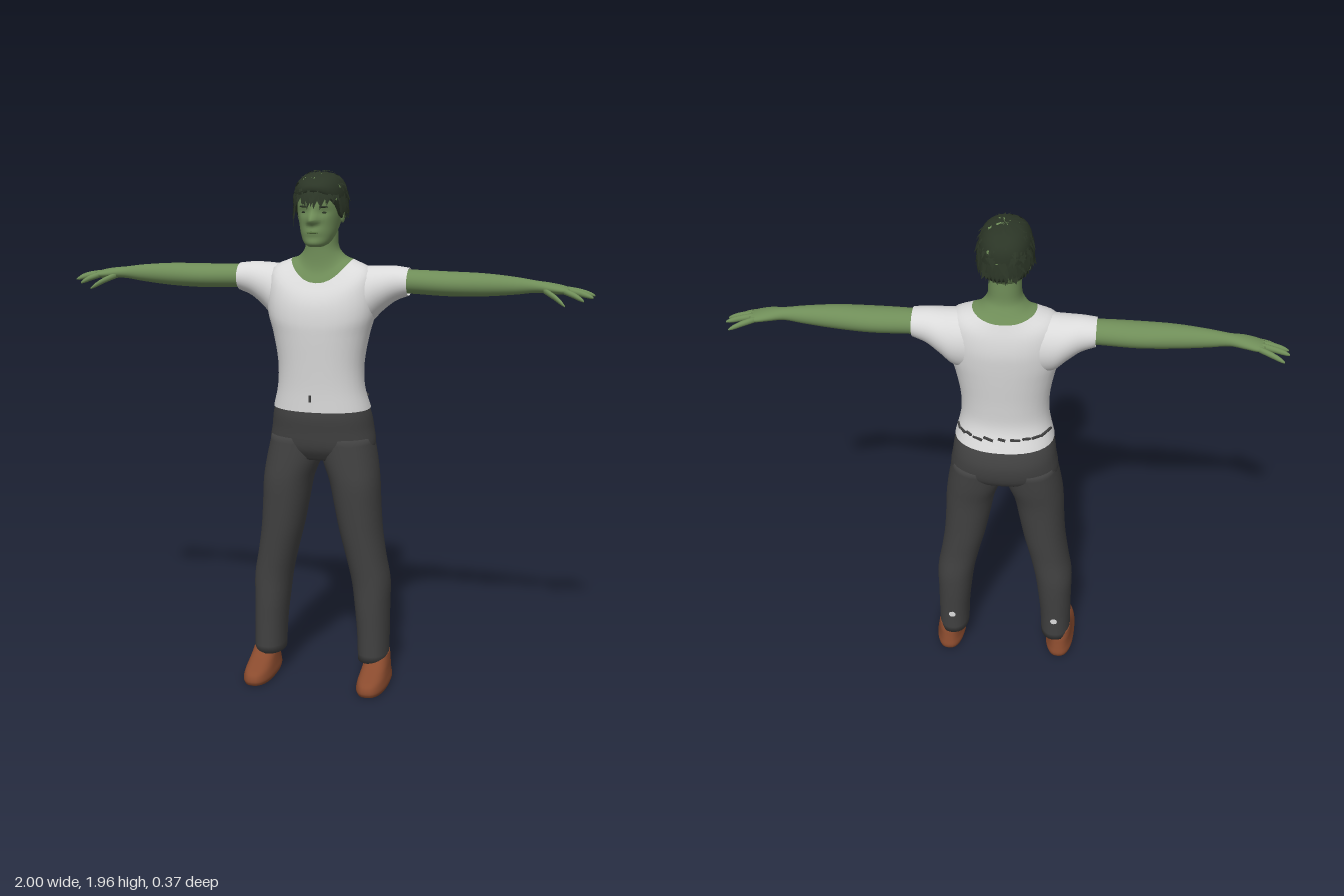
import * as THREE from 'three';
import { mergeGeometries } from 'three/addons/utils/BufferGeometryUtils.js';

const mat = (name, color, side = THREE.FrontSide) => {
  const m = new THREE.MeshStandardMaterial({ color, side });
  m.name = name;
  return m;
};
const N = 32;
const spow = (v, p) => Math.sign(v) * Math.pow(Math.abs(v), p);
const gauss = (d, s) => Math.exp(-(d * d) / (2 * s * s));
let seed = 7;
const rnd = () => (seed = (seed * 16807) % 2147483647) / 2147483647;

// Horizontal cross-section; dF / dB shift its front and back in height.
function ringY(y, rx, zf, zb, { cx = 0, dF = 0, dB = 0, p = 0.9 } = {}) {
  return Array.from({ length: N }, (_, i) => {
    const t = (i / N) * Math.PI * 2, s = Math.sin(t), c = Math.cos(t);
    return new THREE.Vector3(cx + rx * spow(s, p), y + (c > 0 ? dF : dB) * c * c,
      (zf + zb) / 2 + ((zf - zb) / 2) * spow(c, p));
  });
}
// Cross-section of a limb running along x.
function ringX(x, yt, yb, zf, zb) {
  return Array.from({ length: N }, (_, i) => {
    const t = (i / N) * Math.PI * 2;
    return new THREE.Vector3(x, (yt + yb) / 2 + ((yt - yb) / 2) * Math.cos(t),
      (zf + zb) / 2 + ((zf - zb) / 2) * Math.sin(t));
  });
}
// Smooth skin through rings, with optional end caps, reshaping and missing cells.
function loft(rings, { sub = 4, cap = true, deform, holes = 0 } = {}) {
  const rows = (rings.length - 1) * sub;
  const cols = Array.from({ length: N }, (_, j) => new THREE.CatmullRomCurve3(rings.map(r => r[j])).getPoints(rows));
  let grid = Array.from({ length: rows + 1 }, (_, i) => cols.map(c => c[i]));
  if (deform) grid.forEach(r => r.forEach(deform));
  if (cap) {
    const point = r => {
      const m = r.reduce((a, v) => a.add(v), new THREE.Vector3()).divideScalar(N);
      return r.map(() => m.clone());
    };
    grid = [point(grid[0]), ...grid, point(grid[grid.length - 1])];
  }
  const idx = [];
  for (let i = 0; i < grid.length - 1; i++) for (let j = 0; j < N; j++) {
    if (holes && rnd() < holes) continue;
    const a = i * N + j, b = i * N + (j + 1) % N;
    idx.push(a, b, b + N, a, b + N, a + N);
  }
  const g = new THREE.BufferGeometry().setFromPoints(grid.flat());
  g.setIndex(idx);
  g.computeVertexNormals();
  return g;
}
function mirrored(geo) {
  const g = geo.clone().scale(-1, 1, 1), ix = g.index.array;
  for (let i = 0; i < ix.length; i += 3) [ix[i], ix[i + 1]] = [ix[i + 1], ix[i]];
  g.computeVertexNormals();
  return g;
}
const blob = (x, y, z, sx, sy, sz, ry = 0) =>
  new THREE.SphereGeometry(1, 16, 10).scale(sx, sy, sz).rotateY(ry).translate(x, y, z);

export function createModel() {
  const model = new THREE.Group();
  const skin = mat('green skin', 0x6f8d58), shirtMat = mat('white cloth', 0xdadada, THREE.DoubleSide);
  const pantsMat = mat('charcoal cloth', 0x414141, THREE.DoubleSide), shoeMat = mat('brown leather', 0x8a4b2e);
  const hairMat = mat('dark hair', 0x2b3526, THREE.DoubleSide), lipMat = mat('dark green lips', 0x55703f);
  const add = (name, geo, m) => {
    const mesh = new THREE.Mesh(geo, m);
    mesh.name = name;
    model.add(mesh);
  };
  const pair = (name, geo, m) => {
    add('left' + name, geo, m);
    add('right' + name, mirrored(geo), m);
  };

  // Shirt body, ending in a scooped neckline
  const neckline = ringY(1.635, 0.115, 0.07, -0.13, { dF: -0.08, dB: -0.02 });
  add('shirt', loft([
    ringY(1.078, 0.185, 0.107, -0.165), ringY(1.16, 0.165, 0.108, -0.135), ringY(1.25, 0.163, 0.113, -0.137),
    ringY(1.36, 0.182, 0.12, -0.148), ringY(1.44, 0.203, 0.121, -0.155, { dF: -0.03 }),
    ringY(1.53, 0.205, 0.113, -0.157, { dF: -0.06, dB: -0.03 }),
    ringY(1.6, 0.185, 0.098, -0.148, { dF: -0.09, dB: -0.04 }), neckline], { cap: false }), shirtMat);
  pair('Sleeve', loft([
    ringX(0.12, 1.61, 1.38, 0.05, -0.13), ringX(0.18, 1.612, 1.4, 0.05, -0.135), ringX(0.225, 1.614, 1.445, 0.035, -0.13),
    ringX(0.275, 1.614, 1.485, 0.02, -0.115), ringX(0.325, 1.608, 1.506, 0.013, -0.105)], { cap: false }), shirtMat);

  // Neck and bare upper chest
  add('neck', loft([neckline, ringY(1.645, 0.088, 0.048, -0.108, { dF: -0.045 }), ringY(1.675, 0.063, 0.042, -0.092),
    ringY(1.73, 0.058, 0.045, -0.09), ringY(1.79, 0.055, 0.03, -0.09)], { cap: false }), skin);

  // Head with nose, lips, brow and eye sockets
  add('head', loft([
    ringY(1.69, 0.028, 0.095, 0.02), ringY(1.7, 0.044, 0.106, -0.01), ringY(1.73, 0.061, 0.109, -0.06),
    ringY(1.77, 0.072, 0.109, -0.1), ringY(1.81, 0.08, 0.11, -0.117), ringY(1.85, 0.083, 0.112, -0.124),
    ringY(1.89, 0.082, 0.108, -0.122), ringY(1.925, 0.067, 0.085, -0.1), ringY(1.945, 0.03, 0.035, -0.05)],
  { sub: 6, deform: v => {
    if (v.z < 0.03) return;
    const { x, y } = v;
    v.z += 0.036 * gauss(x, 0.011) * gauss(y - 1.785, y > 1.785 ? 0.022 : 0.009)
      + 0.007 * gauss(x, 0.02) * gauss(y - 1.744, 0.012) + 0.006 * gauss(x, 0.02) * gauss(y - 1.705, 0.012)
      - 0.008 * gauss(Math.abs(x) - 0.034, 0.014) * gauss(y - 1.815, 0.011);
  } }), skin);
  pair('Ear', blob(0.08, 1.8, -0.012, 0.01, 0.03, 0.018), skin);
  pair('Eye', blob(0.034, 1.814, 0.091, 0.014, 0.005, 0.005, 0.35), hairMat);
  pair('Eyebrow', blob(0.036, 1.835, 0.1, 0.019, 0.0035, 0.005, 0.35), hairMat);
  add('mouth', blob(0, 1.743, 0.115, 0.022, 0.004, 0.004), lipMat);

  // Hair cap with bare gaps
  add('hairCap', loft([
    ringY(1.785, 0.085, 0.09, -0.125, { dF: 0.085 }), ringY(1.84, 0.093, 0.115, -0.133, { dF: 0.05 }),
    ringY(1.9, 0.089, 0.114, -0.127, { dF: 0.01 }), ringY(1.938, 0.062, 0.075, -0.092),
    ringY(1.953, 0.015, 0.01, -0.03)], { sub: 3, holes: 0.07 }), hairMat);

  // Loose locks: tapering ribbons sliding down the head
  const locks = [];
  const onHead = (t, f, lift) => {
    const s = f > 1.57 ? 1 : Math.sin(f);
    return [Math.sin(t) * s * 0.097 * lift, 1.85 + Math.cos(f) * 0.108 * lift, -0.008 + Math.cos(t) * s * 0.127 * lift];
  };
  const lock = (t, f0, f1, w, flick, sway = 0) => {
    const fm = (f0 + f1) / 2, g = new THREE.BufferGeometry();
    const pts = [onHead(t - w, f0, 1), onHead(t + w, f0, 1), onHead(t - w * 0.8 + sway / 2, fm, 1.04),
      onHead(t + w * 0.8 + sway / 2, fm, 1.04), onHead(t + sway, f1, flick)];
    g.setAttribute('position', new THREE.Float32BufferAttribute(pts.flat(), 3));
    g.setIndex([0, 2, 1, 1, 2, 3, 2, 4, 3]);
    g.computeVertexNormals();
    locks.push(g);
  };
  for (let i = 0; i < 170; i++) {
    const t = rnd() * Math.PI * 2, end = Math.cos(t) > 0.4 ? 1.72 : 2.2;
    const f1 = 0.5 + rnd() * (end - 0.5);
    lock(t, f1 - 0.3 - rnd() * 0.3, f1, 0.07 + rnd() * 0.1, 1.02 + rnd() * 0.1, (rnd() - 0.5) * 0.5);
  }
  for (let i = 0; i < 26; i++) lock(1.2 + i * 0.149, 1.5, 2.1 + rnd() * 0.2, 0.1, 1.02);
  for (let i = 0; i < 9; i++) lock(-1 + i * 0.24, 1.1, 1.6 + rnd() * 0.2, 0.13, 1.03, -0.15);
  for (const [t, f] of [[-1, 2.75], [-0.85, 2.3], [-1.2, 2.4], [1.1, 2.1]]) lock(t, 1.3, f, 0.08, 1.05);
  add('hairLocks', mergeGeometries(locks), hairMat);

  // Arms, palms and fingers
  pair('Arm', loft([
    ringX(0.24, 1.6, 1.515, 0.0, -0.095), ringX(0.34, 1.602, 1.514, 0.006, -0.098), ringX(0.47, 1.6, 1.51, 0.012, -0.1),
    ringX(0.6, 1.598, 1.514, 0.005, -0.09), ringX(0.72, 1.588, 1.525, -0.01, -0.077),
    ringX(0.79, 1.578, 1.534, -0.018, -0.07), ringX(0.84, 1.572, 1.532, -0.01, -0.082),
    ringX(0.885, 1.563, 1.53, -0.013, -0.09), ringX(0.91, 1.555, 1.532, -0.02, -0.086)]), skin);
  // finger: root x, y, z -> tip x, y, z
  const fingers = [[0.89, 1.546, -0.079, 0.98, 1.52, -0.114], [0.9, 1.548, -0.061, 0.998, 1.527, -0.075],
    [0.9, 1.547, -0.043, 0.995, 1.523, -0.041], [0.89, 1.545, -0.027, 0.965, 1.513, -0.012],
    [0.82, 1.546, -0.024, 0.903, 1.5, 0.038]];
  fingers.forEach(([x0, y0, z0, x1, y1, z1], i) => {
    const rings = [[0, 0.011], [0.5, 0.011], [0.85, 0.008], [1, 0.003]].map(([k, r]) => {
      const y = y0 + (y1 - y0) * k * (0.6 + 0.4 * k), z = z0 + (z1 - z0) * k;
      return ringX(x0 + (x1 - x0) * k, y + r, y - r, z + r, z - r);
    });
    pair(i === 4 ? 'Thumb' : 'Finger' + (i + 1), loft(rings, { sub: 2 }), skin);
  });

  // Trousers: hips and two legs
  add('trouserHips', loft([
    ringY(0.885, 0.17, 0.06, -0.11), ringY(0.93, 0.202, 0.088, -0.165), ringY(1.0, 0.195, 0.098, -0.18),
    ringY(1.05, 0.188, 0.103, -0.168), ringY(1.09, 0.178, 0.1, -0.145)]), pantsMat);
  const legs = [[0.09, 0.15, 0.267, 0.062, -0.11], [0.2, 0.145, 0.267, 0.062, -0.115], [0.3, 0.135, 0.267, 0.064, -0.123],
    [0.4, 0.122, 0.267, 0.064, -0.128], [0.5, 0.1, 0.25, 0.071, -0.125], [0.6, 0.075, 0.236, 0.08, -0.13],
    [0.7, 0.055, 0.229, 0.088, -0.135], [0.8, 0.035, 0.224, 0.094, -0.142], [0.88, 0.006, 0.213, 0.091, -0.155],
    [0.97, -0.01, 0.195, 0.085, -0.165]];
  pair('TrouserLeg', loft(legs.map(([y, a, b, zf, zb]) =>
    ringY(y, (b - a) / 2, zf, zb, { cx: (a + b) / 2 }))), pantsMat);
  pair('CalfPatch', new THREE.CircleGeometry(0.014, 12).rotateY(Math.PI).translate(0.206, 0.2, -0.119), shirtMat);

  // Trouser cloth showing through at the shirt hem
  const folds = [];
  for (let i = 0; i < 11; i++) {
    const t = Math.PI * (0.6 + i * 0.08);
    folds.push(new THREE.BoxGeometry(0.022 + rnd() * 0.02, 0.007, 0.008).rotateZ((rnd() - 0.5) * 0.5).rotateY(t)
      .translate(0.174 * spow(Math.sin(t), 0.9), 1.12 + rnd() * 0.012, -0.018 + 0.13 * spow(Math.cos(t), 0.9)));
  }
  folds.push(new THREE.BoxGeometry(0.008, 0.025, 0.008).translate(-0.012, 1.13, 0.107));
  add('hemFolds', mergeGeometries(folds), pantsMat);

  // Shoes
  const o = { cx: 0.225, p: 0.8 };
  pair('Shoe', loft([
    ringY(0, 0.054, 0.178, -0.112, o), ringY(0.015, 0.058, 0.185, -0.116, o), ringY(0.04, 0.054, 0.176, -0.112, o),
    ringY(0.062, 0.05, 0.13, -0.108, o), ringY(0.085, 0.047, 0.075, -0.104, o), ringY(0.115, 0.042, 0.03, -0.095, o)]), shoeMat);
  return model;
}
